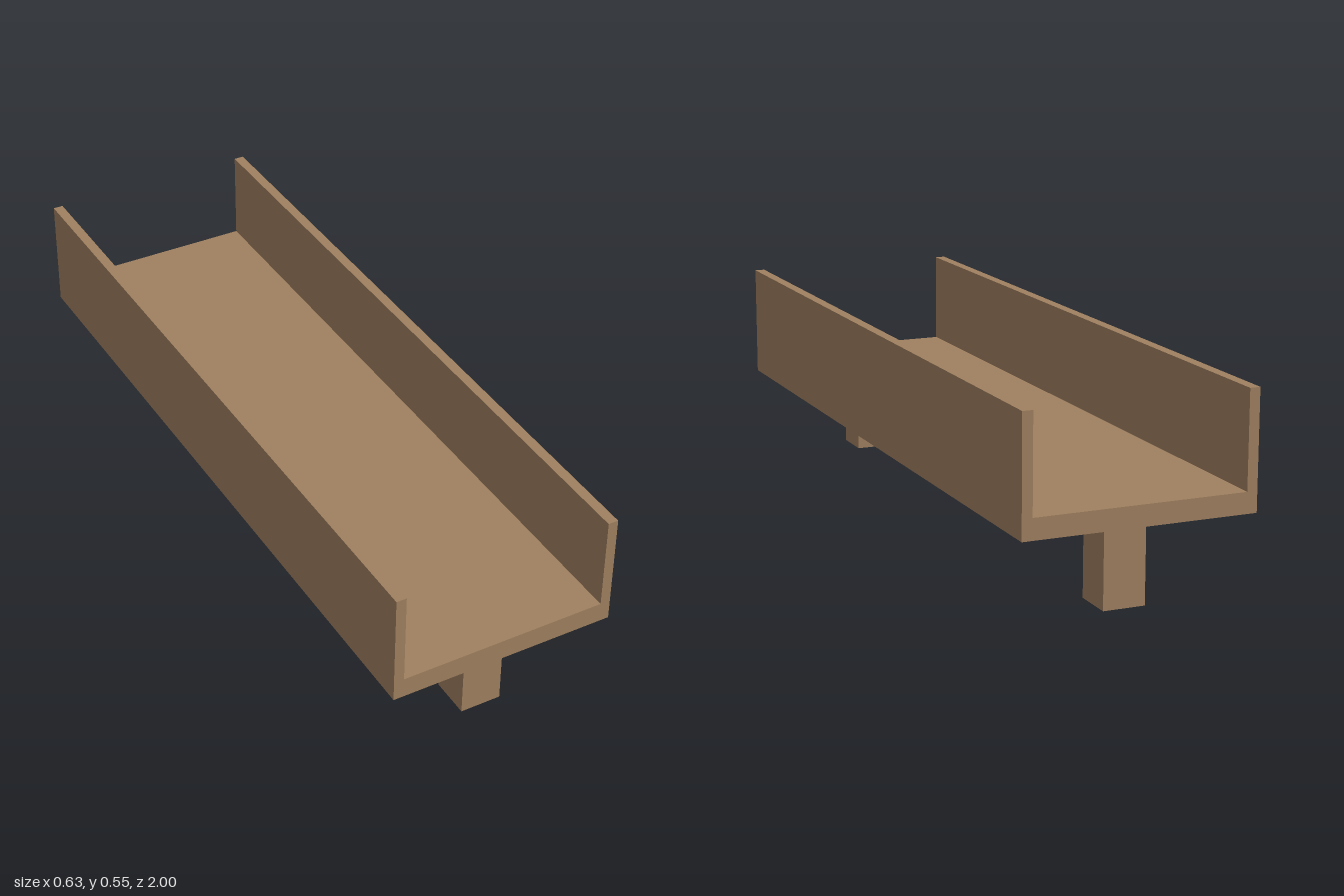
import * as THREE from 'three';

export function createModel() {
  const model = new THREE.Group();
  model.name = 'trough';
  const wood = new THREE.MeshStandardMaterial({ color: 0xa08060 });
  wood.name = 'wood';

  const length = 2, halfWidth = 0.314, innerHalf = 0.286;
  const baseY = 0.23, floorY = 0.286, rimY = 0.545;

  // U-shaped channel: floor and two side walls, open at both ends
  const profile = new THREE.Shape([
    [-halfWidth, baseY], [halfWidth, baseY], [halfWidth, rimY], [innerHalf, rimY],
    [innerHalf, floorY], [-innerHalf, floorY], [-innerHalf, rimY], [-halfWidth, rimY],
  ].map(([x, y]) => new THREE.Vector2(x, y)));
  const channelGeometry = new THREE.ExtrudeGeometry(profile, { depth: length, bevelEnabled: false });
  channelGeometry.translate(0, 0, -length / 2);
  const channel = new THREE.Mesh(channelGeometry, wood);
  channel.name = 'channel';
  model.add(channel);

  // One square leg under each end
  const legSize = 0.114;
  const legGeometry = new THREE.BoxGeometry(legSize, baseY, legSize);
  for (const [name, side] of [['frontLeg', 1], ['backLeg', -1]]) {
    const leg = new THREE.Mesh(legGeometry, wood);
    leg.name = name;
    leg.position.set(0, baseY / 2, side * 0.857);
    model.add(leg);
  }
  return model;
}
